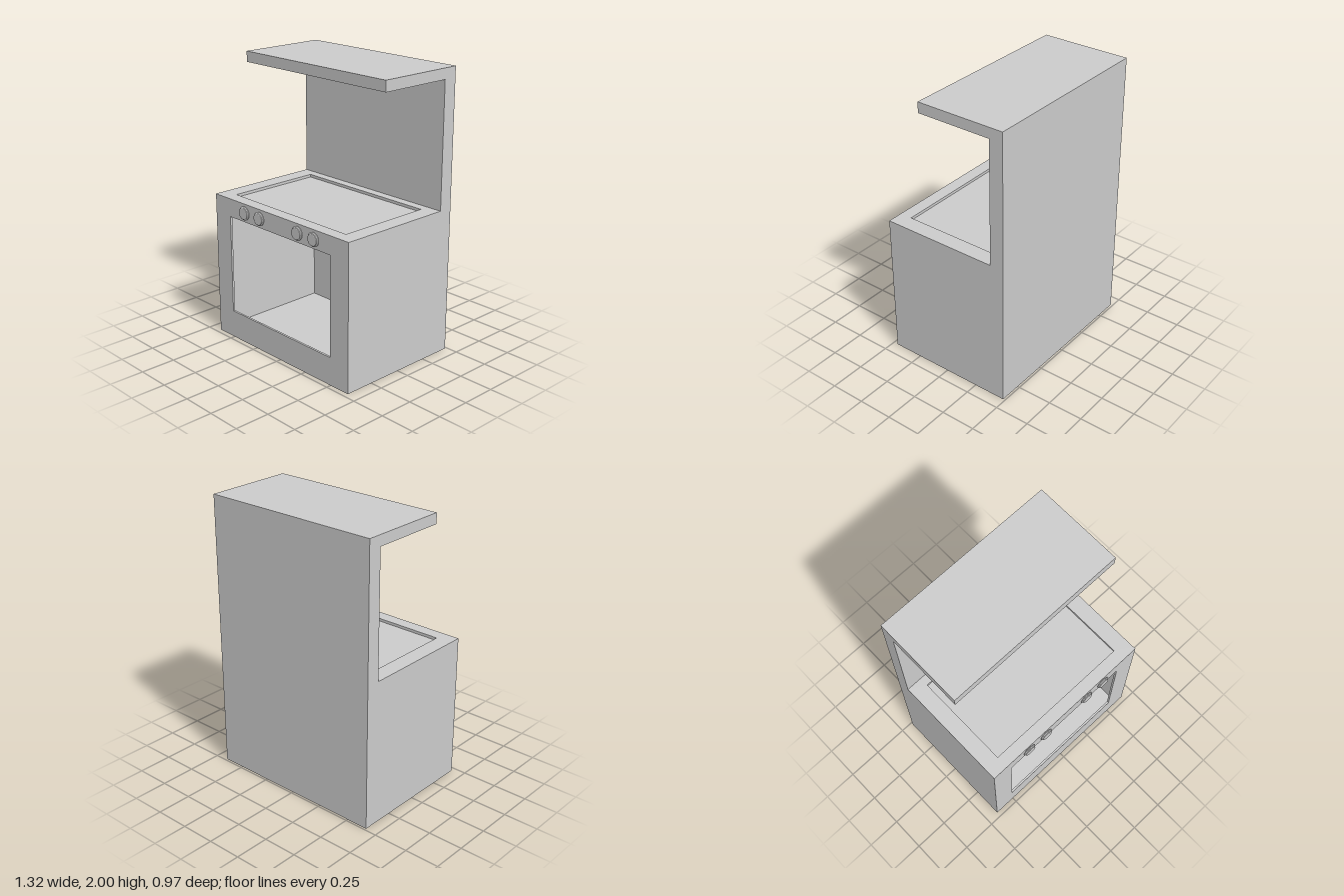
import * as THREE from 'three';

const material = new THREE.MeshStandardMaterial({ color: 0xcccccc });

// Box given by its lower and upper limits on each axis
function box(name, [x0, x1], [y0, y1], [z0, z1]) {
  const mesh = new THREE.Mesh(new THREE.BoxGeometry(x1 - x0, y1 - y0, z1 - z0), material);
  mesh.position.set((x0 + x1) / 2, (y0 + y1) / 2, (z0 + z1) / 2);
  mesh.name = name;
  return mesh;
}

function rectangle(Type, [x0, x1], [y0, y1]) {
  const r = new Type();
  r.moveTo(x0, y0).lineTo(x1, y0).lineTo(x1, y1).lineTo(x0, y1).closePath();
  return r;
}

// Flat panel with one rectangular opening, extruded along +z
function frame(name, outer, opening, depth) {
  const shape = rectangle(THREE.Shape, ...outer);
  shape.holes.push(rectangle(THREE.Path, ...opening));
  const mesh = new THREE.Mesh(new THREE.ExtrudeGeometry(shape, { depth, bevelEnabled: false }), material);
  mesh.name = name;
  return mesh;
}

export function createModel() {
  const stove = new THREE.Group();
  stove.name = 'stove';

  const W = 0.66, back = -0.485, wall = -0.385, front = 0.465, top = 1.04;
  const lip = 0.015, inner = front - lip, recess = 0.02;

  // Tall back and overhanging hood
  stove.add(box('backPanel', [-W, W], [0, 2], [back, wall]));
  stove.add(box('hood', [-W, W], [1.925, 2], [wall, 0.16]));

  // Hollow oven body
  for (const s of [-1, 1]) {
    const side = box(s > 0 ? 'leftSide' : 'rightSide', [0.58, W], [0, top - recess], [wall, inner]);
    side.position.x *= s;
    stove.add(side);
  }
  stove.add(box('ovenFloor', [-0.58, 0.58], [0, 0.06], [wall, inner]));
  stove.add(box('cooktop', [-0.58, 0.58], [0.96, top - recess], [wall, inner]));

  // Thin front with the oven opening
  const frontFrame = frame('ovenFront', [[-W, W], [0, top]], [[-0.505, 0.495], [0.2, 0.91]], lip);
  frontFrame.position.z = inner;
  stove.add(frontFrame);

  // Raised rim around the cooktop; shape y becomes -z
  const rim = frame('cooktopRim', [[-W, W], [-inner, -wall]], [[-0.545, 0.545], [-0.375, 0.32]], recess);
  rim.rotation.x = -Math.PI / 2;
  rim.position.y = top - recess;
  stove.add(rim);

  // Round control knobs with a wider collar
  const profile = [[0.041, 0], [0.049, 0.003], [0.049, 0.008], [0.041, 0.013], [0.041, 0.018], [0.038, 0.02], [0, 0.02]];
  const knobGeometry = new THREE.LatheGeometry(profile.map(([r, h]) => new THREE.Vector2(r, h)), 32)
    .toNonIndexed();
  knobGeometry.computeVertexNormals();
  [-0.345, -0.19, 0.19, 0.345].forEach((x, i) => {
    const knob = new THREE.Mesh(knobGeometry, material);
    knob.name = `knob${i + 1}`;
    knob.rotation.x = Math.PI / 2;
    knob.position.set(x, 0.975, front);
    stove.add(knob);
  });

  return stove;
}
